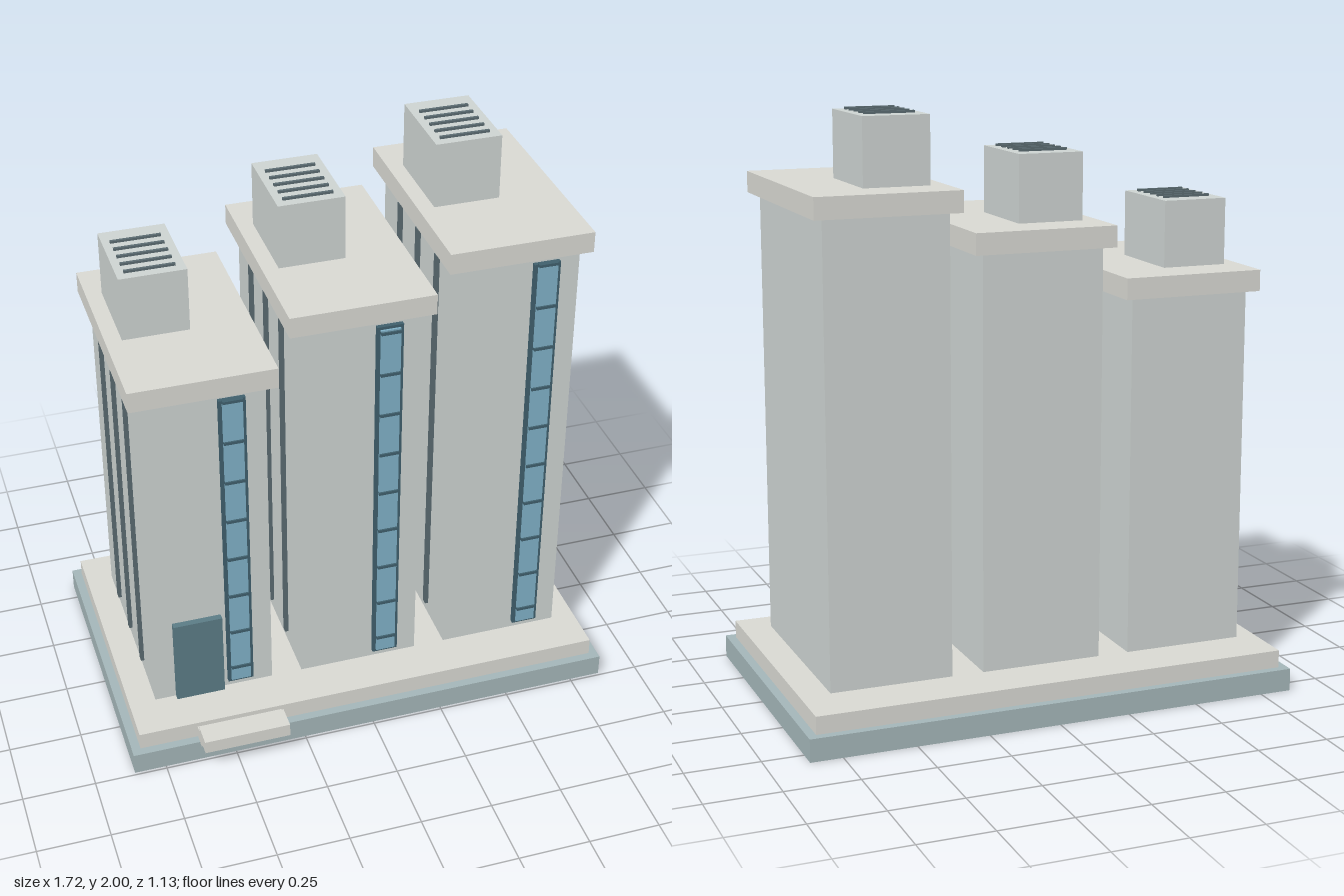
import * as THREE from 'three';

const mat = (color) => new THREE.MeshStandardMaterial({ color });

export function createModel() {
  const model = new THREE.Group();
  model.name = 'towerBlocks';

  const stone = mat(0xd8d8d2), wall = mat(0xcdd3d1), plinth = mat(0xa3b5b8);
  const frame = mat(0x3f5f6c), glass = mat(0x7fb0c6), door = mat(0x5b7c86), slit = mat(0x5a6a70);

  // Box given by its limits on each axis
  const box = (parent, name, material, [x0, x1], [y0, y1], [z0, z1]) => {
    const mesh = new THREE.Mesh(new THREE.BoxGeometry(x1 - x0, y1 - y0, z1 - z0), material);
    mesh.position.set((x0 + x1) / 2, (y0 + y1) / 2, (z0 + z1) / 2);
    mesh.name = name;
    parent.add(mesh);
  };

  // Ground: plinth, paving slab and entrance steps
  box(model, 'plinth', plinth, [-0.86, 0.86], [0, 0.078], [-0.567, 0.49]);
  box(model, 'pavingSlab', stone, [-0.83, 0.83], [0.078, 0.139], [-0.538, 0.46]);
  box(model, 'upperStep', stone, [-0.627, -0.327], [0.095, 0.143], [0.485, 0.567]);
  box(model, 'lowerStep', stone, [-0.627, -0.327], [0.075, 0.122], [0.455, 0.51]);

  // One tower, built around its own x = 0; wallTop is the height of the cap's underside
  const tower = (name, x, wallTop) => {
    const g = new THREE.Group();
    g.name = name;
    g.position.x = x;
    const roof = wallTop + 0.072, boxTop = roof + 0.226;
    box(g, 'walls', wall, [-0.21, 0.21], [0.154, wallTop], [-0.397, 0.318]);
    box(g, 'roofCap', stone, [-0.245, 0.245], [wallTop, roof], [-0.43, 0.348]);
    box(g, 'rooftopUnit', wall, [-0.19, 0.036], [roof, boxTop], [-0.275, 0.038]);

    // Rooftop vent slats
    for (let i = 0; i < 5; i++) {
      const z = -0.2 + i * 0.05;
      box(g, 'ventSlat', slit, [-0.164, 0.006], [boxTop - 0.004, boxTop + 0.008], [z - 0.005, z + 0.005]);
    }

    // Tall window strip with cross bars
    const winTop = wallTop - 0.024;
    box(g, 'windowFrame', frame, [0.049, 0.139], [0.182, winTop], [0.31, 0.334]);
    box(g, 'windowGlass', glass, [0.06, 0.128], [0.192, winTop - 0.01], [0.32, 0.341]);
    for (let y = 0.25; y < winTop; y += 0.1577) {
      box(g, 'windowBar', frame, [0.06, 0.128], [y - 0.005, y + 0.005], [0.33, 0.347]);
    }

    // Narrow slits on the right-hand wall
    for (const z of [-0.22, -0.04, 0.145]) {
      box(g, 'sideSlit', slit, [-0.222, -0.2], [0.2, wallTop - 0.042], [z - 0.012, z + 0.012]);
    }
    model.add(g);
    return g;
  };

  const low = tower('lowTower', -0.53, 1.38);
  tower('middleTower', -0.002, 1.556);
  tower('tallTower', 0.528, 1.694);

  // Entrance door on the low tower
  box(low, 'entranceDoor', door, [-0.137, 0.033], [0.156, 0.477], [0.31, 0.341]);

  return model;
}
